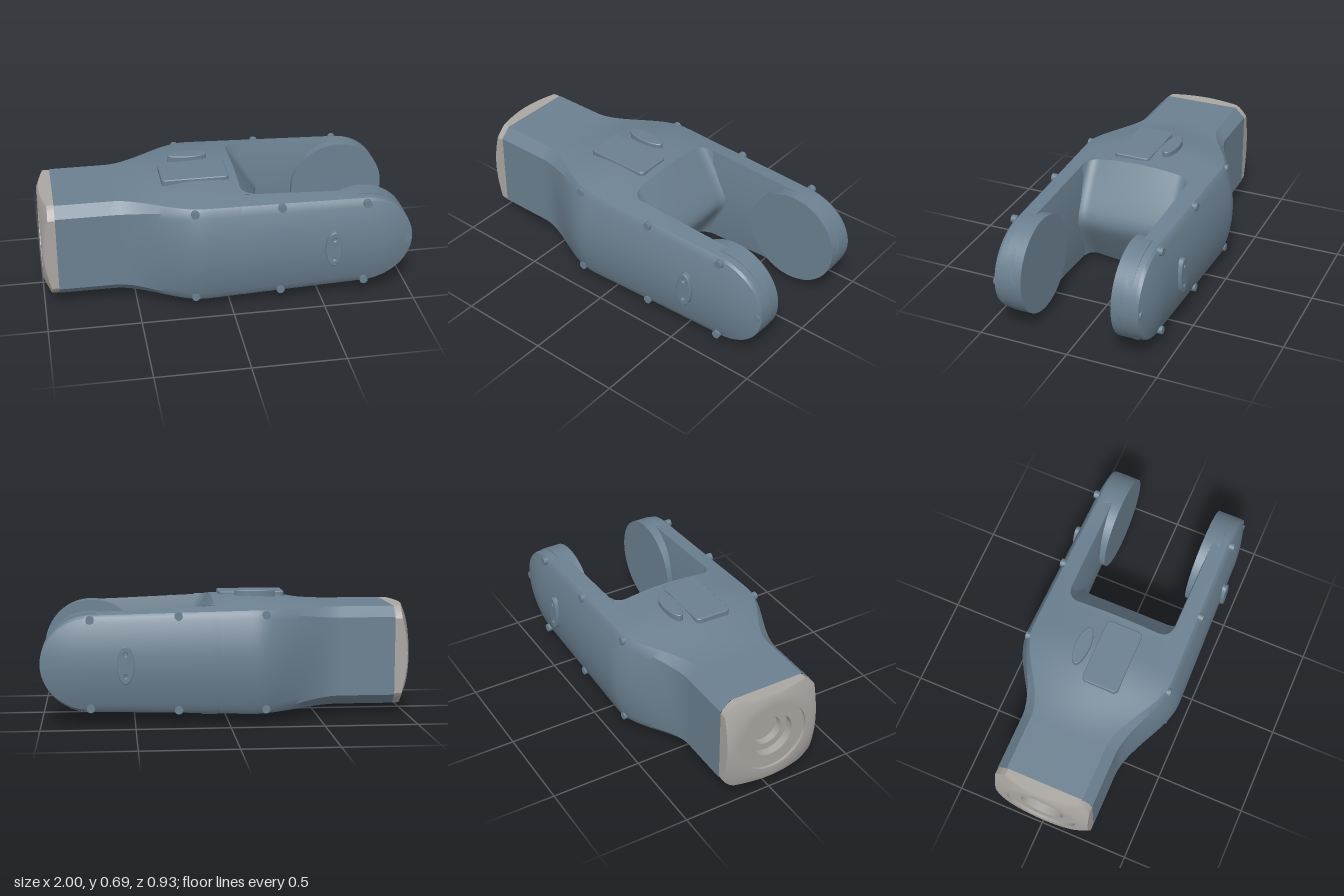
import * as THREE from 'three';
import { toCreasedNormals } from 'three/addons/utils/BufferGeometryUtils.js';
import { ParametricGeometry } from 'three/addons/geometries/ParametricGeometry.js';

const { lerp, smoothstep, clamp } = THREE.MathUtils;
const shell = new THREE.MeshStandardMaterial({ color: 0x6b8090 });
const shellThin = new THREE.MeshStandardMaterial({ color: 0x6b8090, side: THREE.DoubleSide });
const metal = new THREE.MeshStandardMaterial({ color: 0xaaa6a2 });

function part(name, geometry, material, parent) {
  const mesh = new THREE.Mesh(geometry, material);
  mesh.name = name;
  parent.add(mesh);
  return mesh;
}

// Skin over closed rings of [x, y, z] points, optionally capped at either end
function loft(rings, capStart, capEnd) {
  const n = rings[0].length, pos = [];
  const tri = (...pts) => pts.forEach((p) => pos.push(...p));
  for (let i = 0; i + 1 < rings.length; i++) {
    for (let j = 0; j < n; j++) {
      const k = (j + 1) % n;
      tri(rings[i][j], rings[i][k], rings[i + 1][j]);
      tri(rings[i][k], rings[i + 1][k], rings[i + 1][j]);
    }
  }
  const cap = (ring, flip) => {
    const c = [0, 1, 2].map((a) => ring.reduce((s, p) => s + p[a], 0) / n);
    for (let j = 0; j < n; j++) {
      const p = ring[j], q = ring[(j + 1) % n];
      flip ? tri(c, q, p) : tri(c, p, q);
    }
  };
  if (capStart) cap(rings[0], true);
  if (capEnd) cap(rings[rings.length - 1], false);
  const g = new THREE.BufferGeometry();
  g.setAttribute('position', new THREE.Float32BufferAttribute(pos, 3));
  return toCreasedNormals(g, 0.5);
}

// Section sizes along x: chamfered neck, barrel-shaped body, tapering arms, round tips
function sizes(x, c = 1) {
  const s = smoothstep(x, -0.62, -0.14), e = clamp((x + 0.12) / 0.85, 0, 1);
  return {
    zt: lerp(lerp(0.215, 0.405, s), 0.385, e),
    ht: lerp(lerp(0.27, 0.276, s), 0.257, e) * c,
    bt: lerp(0.056 * s, 0.02, e) * c,
    zs: lerp(lerp(0.27, 0.415, s), 0.398, e),
    hs: lerp(lerp(0.215, 0.262, s), 0.245, e) * c,
    bs: lerp(0.05 * s, 0.045, e) * c * c,
    cz: 0.01 * (1 - s),
  };
}
const topHeight = (d, z) => d.ht + d.bt * (1 - (z / d.zt) ** 2);
const sideDepth = (d, y) => d.zs + d.bs * (1 - (y / d.hs) ** 2);

// Points [y, z] over the top from z0 to the corner, then down the side to y = 0
function quarter(d, z0) {
  const q = [], n = 8;
  for (let i = 0; i <= n; i++) {
    const z = lerp(z0, d.zt, i / n);
    q.push([topHeight(d, z), z]);
  }
  for (let i = 0; i <= n; i++) {
    const y = d.hs * (1 - i / n);
    q.push([y, sideDepth(d, y)]);
  }
  return q;
}

function bodyRing(x) {
  const d = sizes(x), q = quarter(d, 0);
  const half = [...q, ...q.slice(0, -1).reverse().map(([y, z]) => [-y, z])];
  const other = half.slice(1, -1).reverse().map(([y, z]) => [y, -z]);
  return [...half, ...other].map(([y, z]) => [x, y, z + d.cz]);
}

function armRing(x, c) {
  const d = sizes(x, c), q = quarter(d, 0.305);
  const h = q[0][0];
  const outer = [...q, ...q.slice(0, -1).reverse().map(([y, z]) => [-y, z])];
  const inner = [-0.8, -0.4, 0, 0.4, 0.8].map((t) => [t * h, 0.28 + 0.025 * t * t]);
  return [...outer, ...inner].map(([y, z]) => [x, y, z]);
}

// Grey end collar: octagon with a conical chamfer and a stepped bore
function collarGeometry() {
  const n = 96;
  const ring = (f) => Array.from({ length: n }, (_, j) => {
    const a = (j / n) * Math.PI * 2, c = Math.cos(a), s = Math.sin(a);
    const R = Math.min(0.27 / Math.max(Math.abs(c), Math.abs(s)), 0.485 / (Math.abs(c) + Math.abs(s)));
    const [r, x] = f(R);
    return [x, r * c, r * s + 0.01];
  });
  const bore = [[0.085, -0.9], [0.085, -0.94], [0.125, -0.94], [0.125, -0.985],
    [0.2, -0.985], [0.2, -1], [0.25, -1]];
  return loft([
    ...bore.map((p) => ring(() => p)),
    ring((R) => [R, -1 + (R - 0.25) * 0.45]),
    ring((R) => [R, -0.92]),
  ], true, false);
}

// Wedge-nosed wall between the arms, filleted into both of them
function crotchGeometry() {
  const d = sizes(0.05), r = 0.07;
  const g = new ParametricGeometry((u, v, p) => {
    const w = u * 2 - 1, t = clamp(w * 1.0909, -1, 1), z = lerp(-0.305, 0.305, v);
    const f = Math.max(0, Math.abs(z) - 0.235);
    const fillet = r - Math.sqrt(Math.max(0, r * r - f * f));
    const x = Math.abs(w) > 0.99 ? 0.05 : 0.275 - Math.hypot(0.2 * t, 0.03) + fillet;
    p.set(x, t * topHeight(d, z), z);
  }, 24, 60);
  return toCreasedNormals(g, 0.5);
}

// Flat outline with a small bevel, extruded along z
function plate(shape, depth) {
  return new THREE.ExtrudeGeometry(shape, {
    depth, bevelThickness: 0.004, bevelSize: 0.004, bevelOffset: -0.004, bevelSegments: 1, curveSegments: 24,
  });
}
function ellipse(rx, ry) {
  return new THREE.Shape().absellipse(0, 0, rx, ry, 0, Math.PI * 2);
}
function roundedRect(w, h, r) {
  const s = new THREE.Shape(), x = w / 2 - r, y = h / 2 - r;
  s.absarc(x, y, r, 0, Math.PI / 2);
  s.absarc(-x, y, r, Math.PI / 2, Math.PI);
  s.absarc(-x, -y, r, Math.PI, Math.PI * 1.5);
  s.absarc(x, -y, r, Math.PI * 1.5, Math.PI * 2);
  return s;
}

function createArm() {
  const arm = new THREE.Group();
  const rings = [];
  for (let i = 0; i <= 14; i++) rings.push(armRing(lerp(0.05, 0.73, i / 14), 1));
  for (let i = 1; i <= 24; i++) {
    const a = (i / 24) * 1.55;
    rings.push(armRing(0.73 + 0.27 * Math.sin(a), Math.cos(a)));
  }
  part('armShell', loft(rings, true, true), shell, arm);

  // Round joint face on the inside
  const disc = part('jointDisc', new THREE.CylinderGeometry(0.266, 0.266, 0.1, 64), shell, arm);
  disc.rotation.x = Math.PI / 2;
  disc.position.set(0.732, 0, 0.3);

  // Oval plate with two screw holes
  const oval = ellipse(0.046, 0.102);
  for (const y of [-0.058, 0.058]) {
    oval.holes.push(new THREE.Path().absarc(0, y, 0.009, 0, Math.PI * 2, true));
  }
  part('sidePlate', plate(oval, 0.053), shell, arm).position.set(0.55, 0, 0.408);

  // Cover screws around the rim
  const screws = [[0.972, 0, 0.395]];
  for (const [x, y] of [[-0.195, 0.252], [0.27, 0.25], [0.735, 0.235]]) {
    screws.push([x, y, 0.409], [x, -y, 0.409]);
  }
  for (const [x, y, z] of screws) {
    const screw = part('coverScrew', new THREE.CylinderGeometry(0.022, 0.022, 0.03, 20), shell, arm);
    screw.rotation.x = Math.PI / 2;
    screw.position.set(x, y, z);
  }
  return arm;
}

export function createModel() {
  const model = new THREE.Group();
  model.name = 'forkedArmLink';
  const link = new THREE.Group();
  link.name = 'link';
  link.position.y = 0.3375;
  model.add(link);

  // Neck and body in one skin
  const rings = [bodyRing(-0.92)];
  for (let i = 0; i <= 36; i++) rings.push(bodyRing(lerp(-0.63, 0.05, i / 36)));
  part('body', loft(rings, false, true), shell, link);
  part('endCollar', collarGeometry(), metal, link);
  part('crotchWall', crotchGeometry(), shellThin, link);

  // Two arms, the back one turned over
  const front = createArm(), back = createArm();
  front.name = 'frontArm';
  back.name = 'backArm';
  back.rotation.x = Math.PI;
  link.add(front, back);

  // Raised pads on top
  const square = part('topPad', plate(roundedRect(0.365, 0.205, 0.025), 0.08), shell, link);
  square.rotation.x = -Math.PI / 2;
  square.position.set(-0.155, 0.253, 0.065);
  const button = part('topOvalPad', plate(ellipse(0.11, 0.04), 0.09), shell, link);
  button.rotation.x = -Math.PI / 2;
  button.position.set(-0.165, 0.261, -0.102);
  return model;
}
